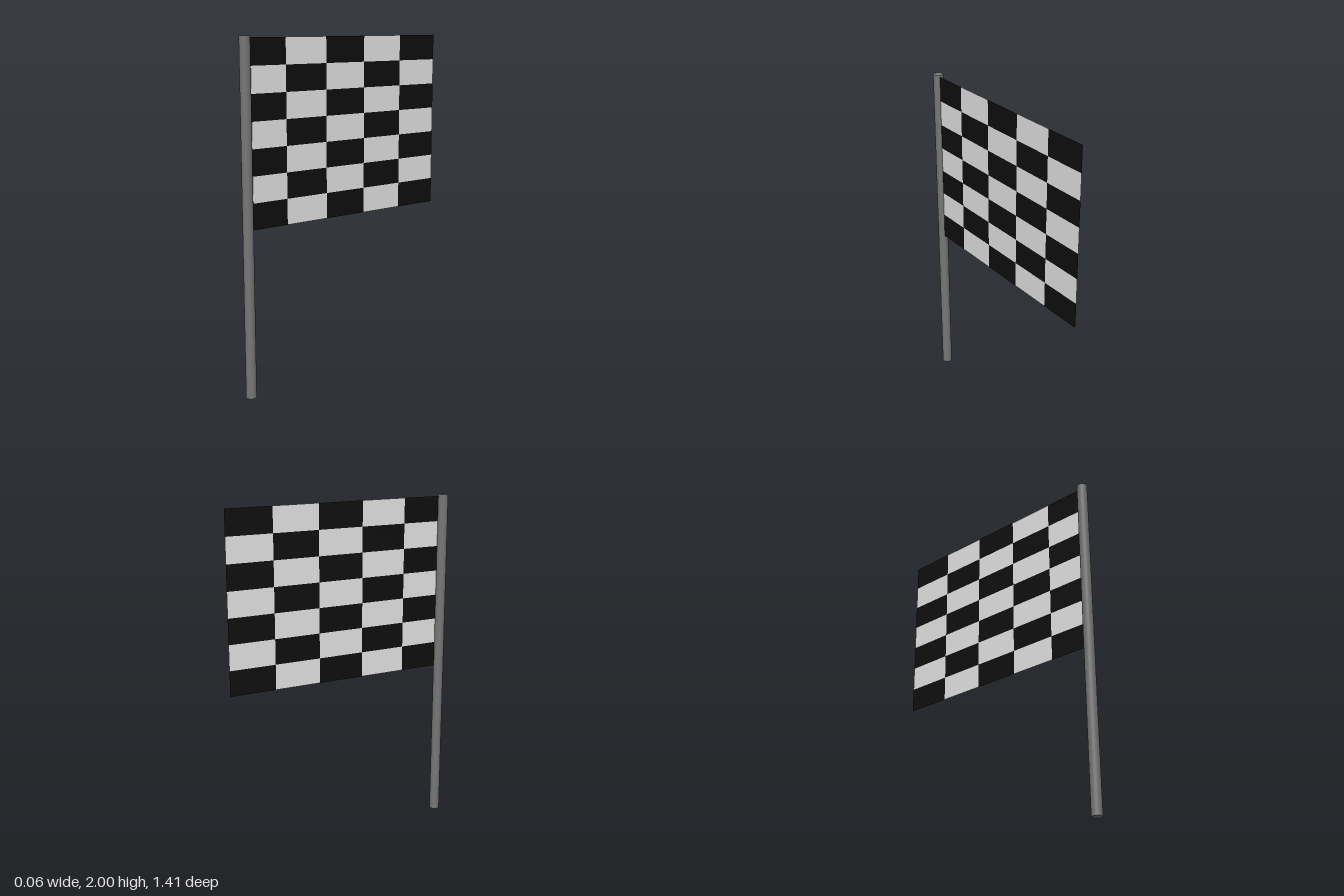
import * as THREE from 'three';
import { mergeGeometries } from 'three/addons/utils/BufferGeometryUtils.js';

const material = (name, color, side = THREE.FrontSide) =>
  new THREE.MeshStandardMaterial({ name, color, side });

export function createModel() {
  const model = new THREE.Group();
  model.name = 'checkeredFlag';

  // Upright round pole
  const radius = 0.03, poleZ = 0.675;
  const pole = new THREE.Mesh(
    new THREE.CylinderGeometry(radius, radius, 2, 32),
    material('poleGrey', 0x777777));
  pole.name = 'pole';
  pole.position.set(0, 1, poleZ);
  model.add(pole);

  // Flat cloth: a sheet of checks running back from the pole
  const columns = 5, rows = 7;
  const startZ = 0.693, topY = 1.99;
  const cellW = 0.2796, cellH = 0.1478, clothX = 0.006;
  const dark = [], light = [];
  for (let r = 0; r < rows; r++) {
    for (let c = 0; c < columns; c++) {
      const cell = new THREE.PlaneGeometry(cellW, cellH);
      cell.rotateY(Math.PI / 2);
      cell.translate(clothX, topY - (r + 0.5) * cellH, startZ - (c + 0.5) * cellW);
      ((r + c) % 2 === 0 ? dark : light).push(cell);
    }
  }
  const cloth = new THREE.Group();
  cloth.name = 'cloth';
  const addChecks = (name, cells, mat) => {
    const mesh = new THREE.Mesh(mergeGeometries(cells), mat);
    mesh.name = name;
    cloth.add(mesh);
  };
  addChecks('blackChecks', dark, material('black', 0x0f0f0f, THREE.DoubleSide));
  addChecks('whiteChecks', light, material('white', 0xe7e7e7, THREE.DoubleSide));
  model.add(cloth);

  return model;
}
